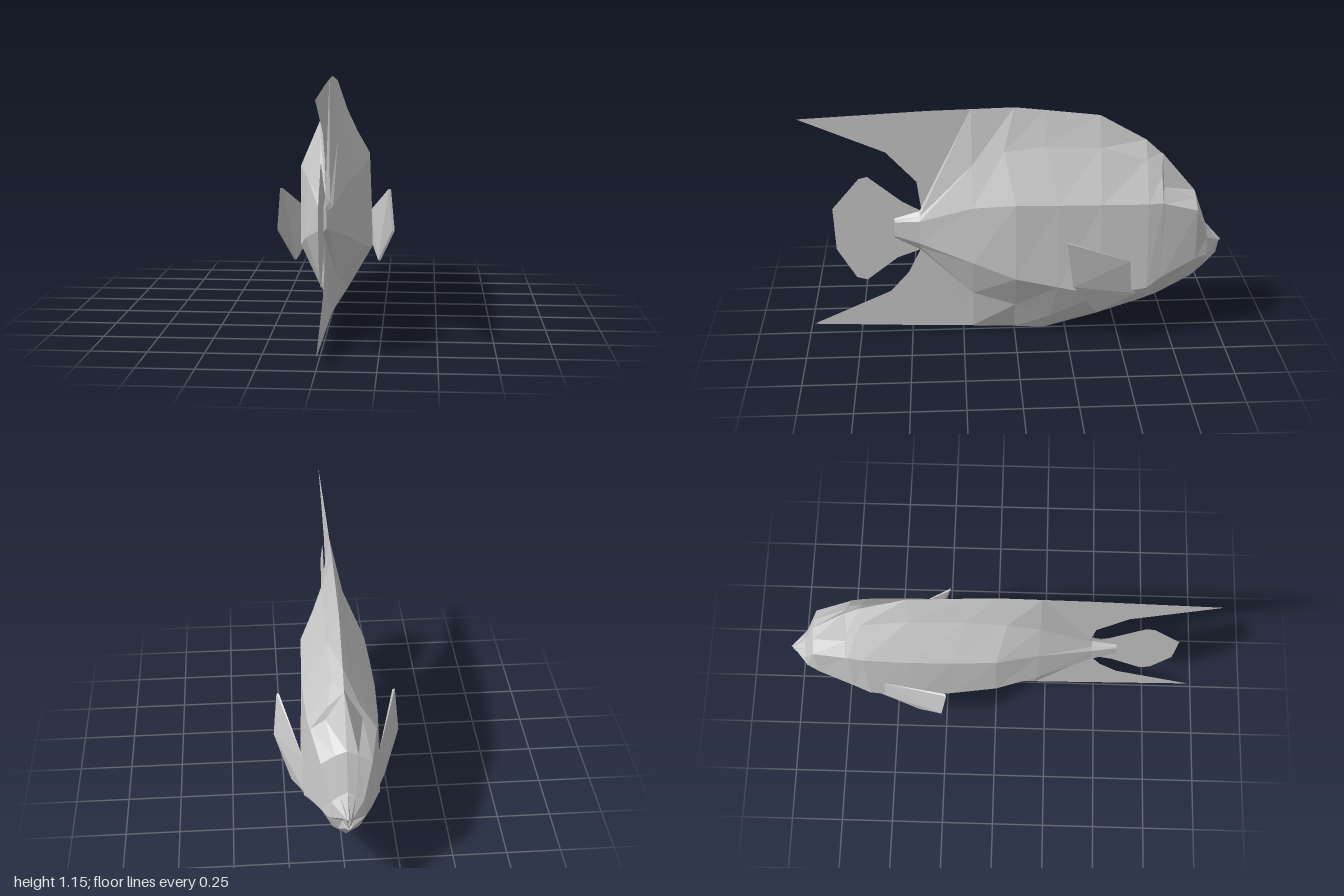
import * as THREE from 'three';
import { ConvexGeometry } from 'three/addons/geometries/ConvexGeometry.js';

const skin = new THREE.MeshStandardMaterial({ color: 0xcccccc, flatShading: true, side: THREE.DoubleSide });
skin.name = 'pale grey';

// Half cross-section at z, from keel up: belly, lower ridge, upper ridge, back, crest.
// Each point is [x, y, z offset].
const half = (z, keel, belly, lower, upper, back, crest) =>
  [[0, keel], belly, lower, upper, back, [0, crest]].map(([x, y, dz = 0]) => [x, y, z + dz]);

// Mirror a half section into a closed ring
const ring = h => [...h, ...h.slice(1, -1).reverse().map(([x, y, z]) => [-x, y, z])];

function loft(sections) {
  const rings = sections.map(ring), n = rings[0].length, pos = [];
  const tri = (a, b, c) => pos.push(...a, ...b, ...c);
  for (let i = 0; i < rings.length - 1; i++) {
    for (let j = 0; j < n; j++) {
      const k = (j + 1) % n;
      const a = rings[i][j], b = rings[i][k], c = rings[i + 1][k], d = rings[i + 1][j];
      tri(a, d, c);
      tri(a, c, b);
    }
  }
  // close both ends
  const first = rings[0], last = rings[rings.length - 1];
  for (let j = 1; j < n - 1; j++) {
    tri(first[0], first[j], first[j + 1]);
    tri(last[0], last[j + 1], last[j]);
  }
  const g = new THREE.BufferGeometry();
  g.setAttribute('position', new THREE.Float32BufferAttribute(pos, 3));
  g.computeVertexNormals();
  return g;
}

// Flat fin on the centre plane, outlined in [z, y]
function medianFin(points) {
  const shape = new THREE.Shape(points.map(([z, y]) => new THREE.Vector2(z, y)));
  return new THREE.ShapeGeometry(shape).rotateY(-Math.PI / 2);
}

export function createModel() {
  const fish = new THREE.Group();
  fish.name = 'fish';
  const add = (name, geometry) => {
    const mesh = new THREE.Mesh(geometry, skin);
    mesh.name = name;
    fish.add(mesh);
  };

  // Body from tail root to lips
  add('body', loft([
    half(0.57, 0.505, [0.008, 0.51], [0.014, 0.52], [0.014, 0.59], [0.008, 0.6], 0.605),
    half(0.45, 0.44, [0.02, 0.46], [0.035, 0.485], [0.035, 0.6], [0.02, 0.62], 0.64),
    half(0.2, 0.02, [0.04, 0.22], [0.11, 0.41], [0.1, 0.69], [0.04, 0.88], 1.145),
    half(0, 0.01, [0.06, 0.16], [0.15, 0.34], [0.15, 0.72], [0.05, 0.95, 0.05], 1.15),
    half(-0.14, 0, [0.07, 0.1, -0.03], [0.165, 0.3, -0.06], [0.158, 0.72, -0.06], [0.05, 0.97], 1.135),
    half(-0.4, 0.07, [0.08, 0.13], [0.178, 0.26], [0.162, 0.72], [0.05, 0.96], 1.105),
    half(-0.62, 0.145, [0.08, 0.19], [0.172, 0.29], [0.155, 0.715], [0.05, 0.9], 0.98),
    half(-0.69, 0.17, [0.07, 0.22], [0.155, 0.335], [0.145, 0.715], [0.07, 0.83], 0.915),
    half(-0.7, 0.175, [0.07, 0.225], [0.153, 0.34], [0.142, 0.71], [0.08, 0.77], 0.91),
    half(-0.86, 0.265, [0.06, 0.31], [0.11, 0.41], [0.11, 0.66], [0.05, 0.7], 0.72),
    half(-0.92, 0.325, [0.04, 0.35], [0.08, 0.415], [0.07, 0.5], [0.035, 0.53], 0.55),
    half(-0.98, 0.39, [0.012, 0.395, 0.005], [0.025, 0.42, 0.03], [0.02, 0.455, 0], [0.01, 0.46, -0.01], 0.462, 0),
  ]));

  // Upper lip point
  add('upperLip', new ConvexGeometry([
    [0, 0.46, -1], [0, 0.55, -0.92], [0.05, 0.44, -0.94], [-0.05, 0.44, -0.94], [0, 0.425, -0.95],
  ].map(p => new THREE.Vector3(...p))));

  // Centre fins
  add('dorsalFin', medianFin([[0.1, 1.14], [0.2, 1.145], [0.4, 1.14], [1, 1.11], [0.6, 0.94],
    [0.46, 0.79], [0.44, 0.64], [0.3, 0.7]]));
  add('analFin', medianFin([[0.1, 0.015], [0.4, 0.025], [0.98, 0.05], [0.6, 0.22],
    [0.51, 0.32], [0.45, 0.44], [0.3, 0.4]]));
  add('tailFin', medianFin([[0.4, 0.62], [0.44, 0.64], [0.53, 0.69], [0.69, 0.82], [0.73, 0.81],
    [0.86, 0.66], [0.85, 0.45], [0.76, 0.3], [0.71, 0.285], [0.56, 0.4], [0.45, 0.44], [0.4, 0.47]]));

  // Side fins, thin wedges flaring backwards from the cheeks
  const root = [[0.168, 0.43, -0.54], [0.166, 0.26, -0.57]];
  const edge = [[0.275, 0.58, -0.23], [0.294, 0.365, -0.26], [0.22, 0.19, -0.38]];
  for (const side of [1, -1]) {
    const points = [...root, ...edge, ...edge.map(([x, y, z]) => [x - 0.012, y, z - 0.005])];
    add(side > 0 ? 'leftSideFin' : 'rightSideFin',
      new ConvexGeometry(points.map(([x, y, z]) => new THREE.Vector3(side * x, y, z))));
  }

  return fish;
}
